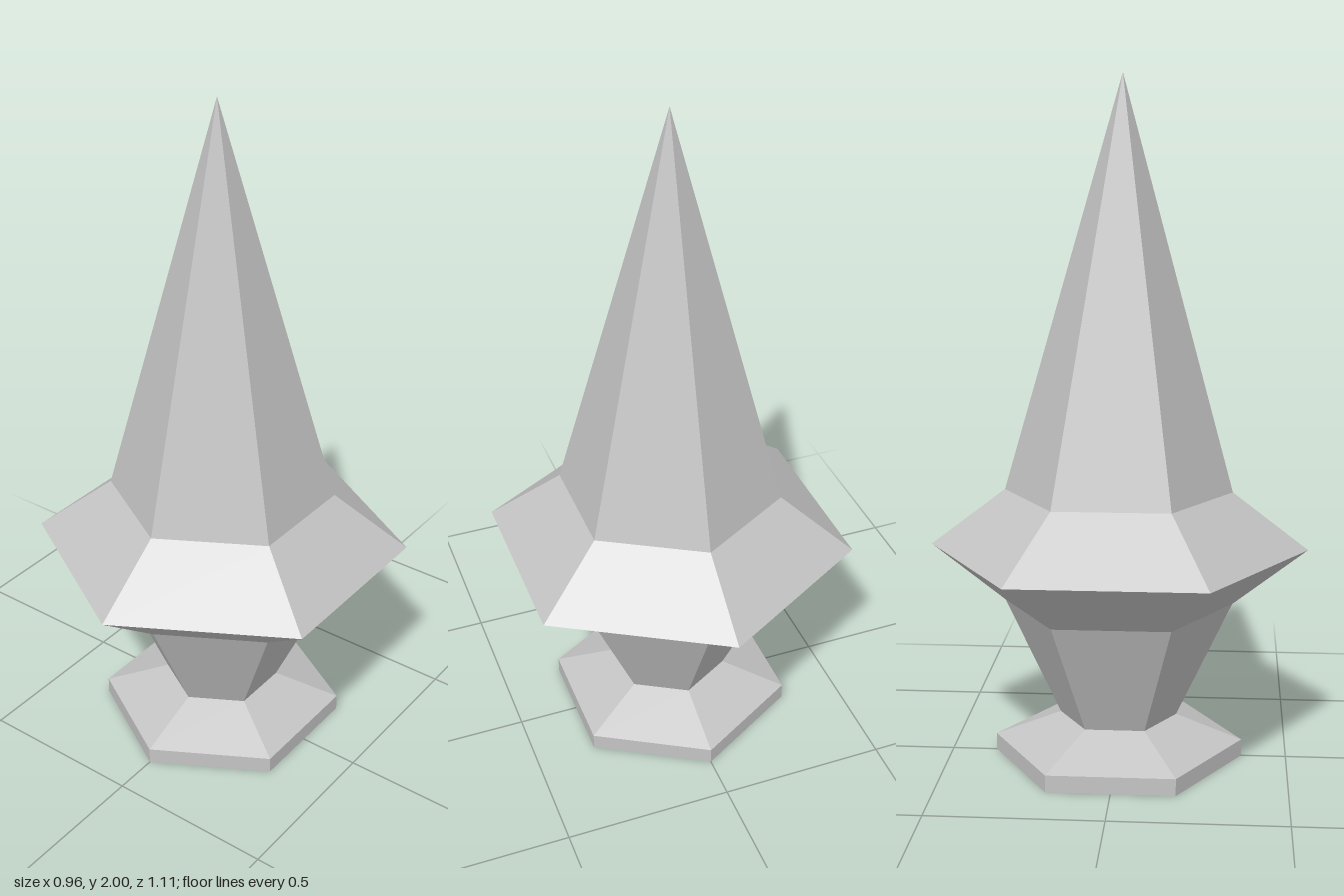
import * as THREE from 'three';

// Open hexagonal band between two heights, with corners on the z axis
function hexBand(name, rBottom, rTop, y0, y1, material) {
  const indexed = new THREE.CylinderGeometry(rTop, rBottom, y1 - y0, 6, 1, true);
  indexed.translate(0, (y0 + y1) / 2, 0);
  const geometry = indexed.toNonIndexed();
  geometry.computeVertexNormals();
  const mesh = new THREE.Mesh(geometry, material);
  mesh.name = name;
  return mesh;
}

export function createModel() {
  const group = new THREE.Group();
  group.name = 'spireFinial';

  const stone = new THREE.MeshStandardMaterial({
    color: 0xc4c4c4, flatShading: true, side: THREE.DoubleSide,
  });
  stone.name = 'light grey stone';

  // Hollow shell, open underneath: name, lower radius, upper radius, lower y, upper y
  const bands = [
    ['baseRim', 0.368, 0.368, 0, 0.05],
    ['baseSlope', 0.368, 0.173, 0.05, 0.125],
    ['taperedStem', 0.173, 0.336, 0.125, 0.468],
    ['collarUnderside', 0.336, 0.555, 0.468, 0.635],
    ['collarTop', 0.555, 0.334, 0.635, 0.804],
    ['spire', 0.334, 0, 0.804, 2],
  ];
  for (const band of bands) group.add(hexBand(...band, stone));

  // The spire's tip leans very slightly
  const spire = group.getObjectByName('spire').geometry;
  const pos = spire.attributes.position;
  for (let i = 0; i < pos.count; i++) {
    if (pos.getY(i) > 1.9) pos.setXYZ(i, -0.006, 2, 0.013);
  }
  spire.computeVertexNormals();

  return group;
}
